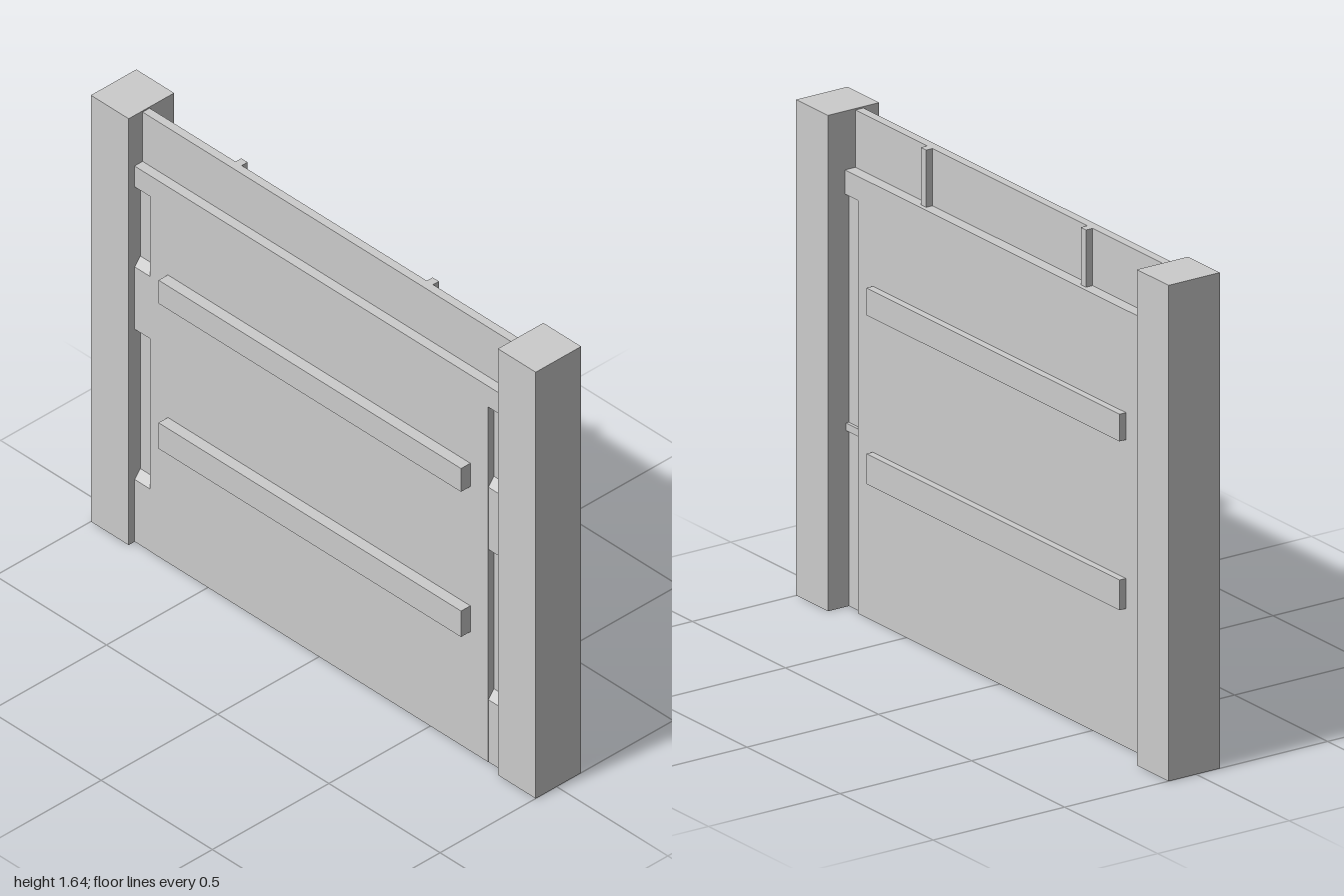
import * as THREE from 'three';

const material = new THREE.MeshStandardMaterial({ color: 0xcccccc, flatShading: true });
const shellMaterial = new THREE.MeshStandardMaterial({ color: 0xcccccc, flatShading: true, side: THREE.DoubleSide });

export function createModel() {
  const group = new THREE.Group();
  group.name = 'fencePanel';

  const add = (name, geometry, mat = material) => {
    const mesh = new THREE.Mesh(geometry, mat);
    mesh.name = name;
    group.add(mesh);
    return mesh;
  };

  // Box given by its limits on each axis
  const box = (name, x0, x1, y0, y1, z0, z1) => add(name,
    new THREE.BoxGeometry(x1 - x0, y1 - y0, z1 - z0)
      .translate((x0 + x1) / 2, (y0 + y1) / 2, (z0 + z1) / 2));

  // Main board and the wider rail across its top
  box('mainPanel', -0.76, 0.76, 0, 1.37, -0.04, 0.065);
  box('topRail', -0.83, 0.83, 1.37, 1.45, -0.04, 0.065);

  // Thin upper board with two ribs on its back
  box('upperBoard', -0.83, 0.83, 1.45, 1.64, 0, 0.03);
  for (const [side, x] of [['left', 0.43], ['right', -0.43]]) {
    box(side + 'UpperRib', x - 0.014, x + 0.014, 1.45, 1.64, -0.025, 0);
  }

  // Horizontal battens on both faces
  for (const [name, y0, y1] of [['lower', 0.46, 0.56], ['upper', 1.02, 1.11]]) {
    box(name + 'FrontBatten', -0.68, 0.68, y0, y1, 0.065, 0.105);
    box(name + 'BackBatten', -0.68, 0.68, y0, y1, -0.065, -0.04);
  }

  // Edge strip cross-section (z, y): two front blocks with sloped tops, a small ledge behind
  const edgeProfile = new THREE.Shape([
    [-0.025, 0], [0.064, 0], [0.064, 0.24], [0.04, 0.27],
    [0.04, 0.82], [0.064, 0.82], [0.064, 1.06], [0.04, 1.09],
    [0.04, 1.37], [-0.025, 1.37],
    [-0.025, 0.61], [-0.037, 0.61], [-0.037, 0.585], [-0.025, 0.585],
  ].map(([z, y]) => new THREE.Vector2(z, y)));

  for (const [side, s] of [['left', 1], ['right', -1]]) {
    // Edge strip, running into the post
    const strip = new THREE.ExtrudeGeometry(edgeProfile, { depth: 0.14, bevelEnabled: false });
    strip.rotateY(-Math.PI / 2).translate(s > 0 ? 0.9 : -0.76, 0, 0);
    add(side + 'EdgeStrip', strip);

    // Hollow post, open underneath
    const post = new THREE.BoxGeometry(0.17, 1.645, 0.195).translate(s * 0.915, 0.8225, -0.0075);
    const index = Array.from(post.index.array);
    index.splice(18, 6); // bottom face
    post.setIndex(index);
    post.clearGroups();
    add(side + 'Post', post, shellMaterial);
  }

  return group;
}
